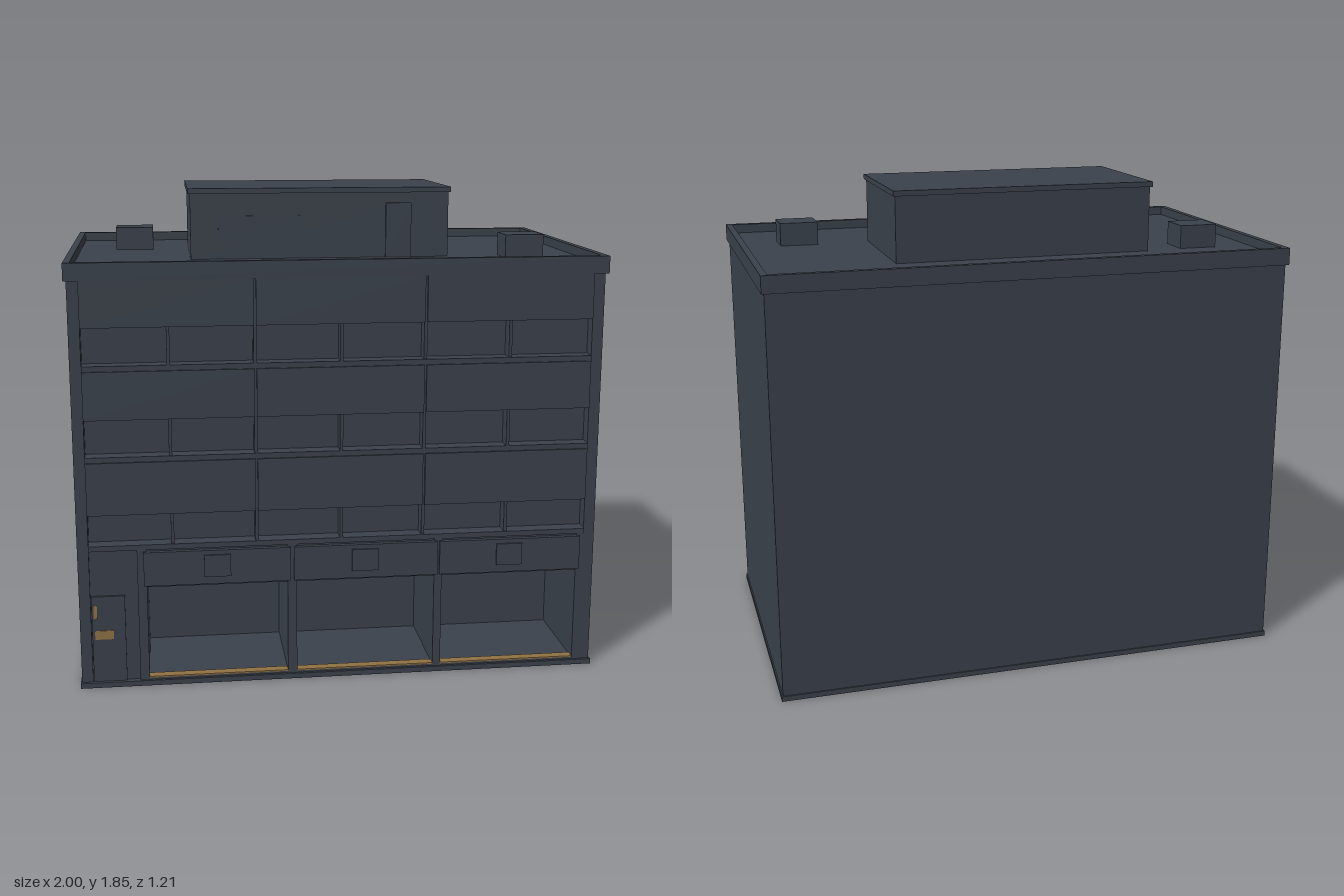
import * as THREE from 'three';

const slate = new THREE.MeshStandardMaterial({ color: 0x3b424c });
slate.name = 'slate';
const ochre = new THREE.MeshStandardMaterial({ color: 0x8f7144 });
ochre.name = 'ochre';

// Box given by its bounds on each axis
function block(parent, name, [x0, x1], [y0, y1], [z0, z1], material = slate) {
  const mesh = new THREE.Mesh(new THREE.BoxGeometry(x1 - x0, y1 - y0, z1 - z0), material);
  mesh.position.set((x0 + x1) / 2, (y0 + y1) / 2, (z0 + z1) / 2);
  mesh.name = name;
  parent.add(mesh);
  return mesh;
}

function group(parent, name) {
  const g = new THREE.Group();
  g.name = name;
  parent.add(g);
  return g;
}

export function createModel() {
  const model = new THREE.Group();
  model.name = 'building';

  // Main volume: solid rear, upper floors set back behind the facade
  const body = group(model, 'body');
  block(body, 'plinth', [-0.995, 0.995], [0, 0.02], [-0.602, 0.595]);
  block(body, 'rearBlock', [-0.99, 0.99], [0.02, 1.56], [-0.597, 0.19]);
  block(body, 'upperFloors', [-0.99, 0.99], [0.54, 1.56], [0.19, 0.53]);
  for (const s of [-1, 1]) {
    const x = s < 0 ? [-0.99, -0.948] : [0.948, 0.99];
    block(body, 'cornerPier', x, [0.02, 1.55], [0.19, 0.583]);
  }

  // Three upper floors: open band below, wide panels above
  const floors = [[0.54, 0.56, 0.68, 0.88], [0.88, 0.9, 1.04, 1.22], [1.22, 1.24, 1.38, 1.55]];
  const thirds = [[-0.948, -0.323], [-0.315, 0.309], [0.317, 0.945]];
  for (const [base, sill, mid, top] of floors) {
    const floor = group(model, 'upperFloor');
    block(floor, 'sill', [-0.948, 0.948], [base, sill], [0.53, 0.59]);
    for (const x of thirds) block(floor, 'windowPanel', x, [mid, top], [0.53, 0.597]);
    for (const x of [-0.635, -0.319, 0, 0.313, 0.635]) {
      block(floor, 'mullion', [x - 0.006, x + 0.006], [sill, top], [0.53, 0.587]);
    }
  }

  // Ground floor shops
  const shops = group(model, 'shops');
  block(shops, 'shopFloor', [-0.76, 0.948], [0.02, 0.028], [0.19, 0.585]);
  const openings = [[-0.735, -0.205], [-0.17, 0.36], [0.39, 0.92]];
  const piers = [[-0.77, -0.735], [-0.205, -0.17], [0.36, 0.39], [0.92, 0.948]];
  for (const x of piers) block(shops, 'shopPier', x, [0.02, 0.54], [0.19, 0.588]);
  openings.forEach(([x0, x1], i) => {
    block(shops, 'lintel', [x0, x1], [0.39, 0.54], [0.19, 0.58]);
    block(shops, 'fascia', [x0 - 0.011, x1 + 0.011], [0.4, 0.532], [0.58, 0.599]);
    const c = -0.47 + i * 0.56;
    block(shops, 'fasciaPlate', [c - 0.05, c + 0.05], [0.43, 0.515], [0.599, 0.606]);
    block(shops, 'threshold', [x0, x1], [0.028, 0.033], [0.55, 0.587], ochre);
  });

  // Side entrance
  const entrance = group(model, 'entrance');
  block(entrance, 'entranceWall', [-0.948, -0.77], [0.02, 0.54], [0.19, 0.572]);
  block(entrance, 'door', [-0.945, -0.82], [0.02, 0.36], [0.572, 0.581]);
  block(entrance, 'handlePlate', [-0.935, -0.865], [0.19, 0.225], [0.581, 0.584], ochre);
  block(entrance, 'bellPlate', [-0.938, -0.925], [0.275, 0.325], [0.581, 0.584], ochre);

  // Roof deck with parapet
  const roof = group(model, 'roof');
  block(roof, 'deck', [-0.98, 0.98], [1.55, 1.58], [-0.59, 0.575]);
  block(roof, 'frontParapet', [-1, 1], [1.55, 1.615], [0.572, 0.598]);
  block(roof, 'backParapet', [-1, 1], [1.55, 1.615], [-0.608, -0.585]);
  block(roof, 'leftParapet', [0.975, 1], [1.55, 1.615], [-0.585, 0.572]);
  block(roof, 'rightParapet', [-1, -0.975], [1.55, 1.615], [-0.585, 0.572]);

  // Rooftop room and vents
  const room = group(model, 'rooftopRoom');
  block(room, 'roomWalls', [-0.537, 0.467], [1.58, 1.83], [-0.325, 0.217]);
  block(room, 'roomRoof', [-0.545, 0.475], [1.83, 1.85], [-0.335, 0.226]);
  block(room, 'roomDoor', [0.22, 0.32], [1.58, 1.79], [0.217, 0.225]);
  block(room, 'roomWindow', [-0.43, -0.115], [1.65, 1.745], [0.217, 0.22]);
  block(roof, 'ventBox', [0.675, 0.825], [1.58, 1.67], [0.185, 0.315]);
  block(roof, 'ventBox', [-0.83, -0.68], [1.58, 1.67], [-0.312, -0.183]);

  return model;
}
